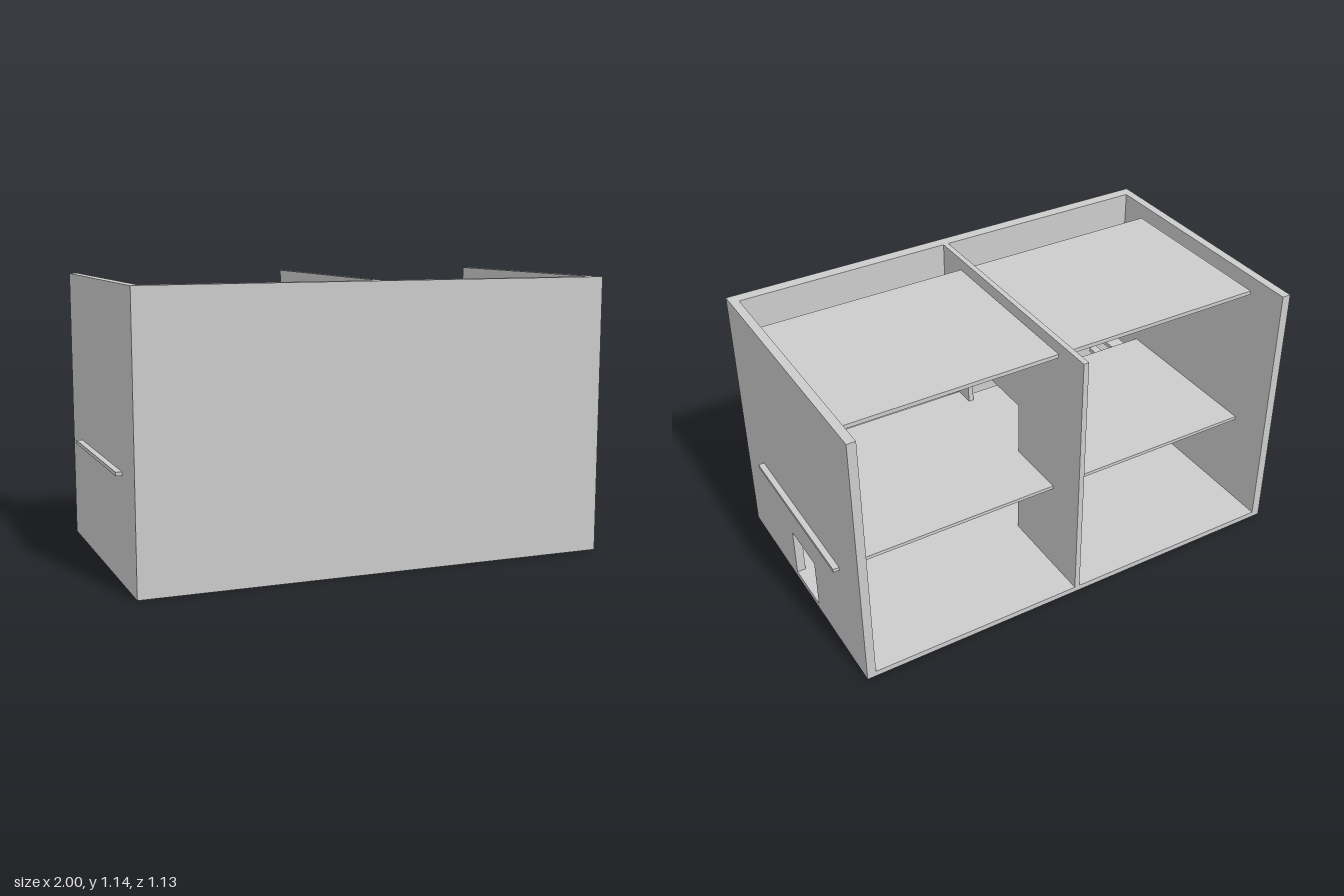
import * as THREE from 'three';

export function createModel() {
  const model = new THREE.Group();
  const material = new THREE.MeshStandardMaterial({ color: 0xcccccc, flatShading: true });
  const height = 1.14, back = -0.57, front = 0.565;

  const add = (name, geometry) => {
    const mesh = new THREE.Mesh(geometry, material);
    mesh.name = name;
    model.add(mesh);
    return mesh;
  };

  // Box given by its limits on each axis
  const box = (name, x0, x1, y0, y1, z0, z1) =>
    add(name, new THREE.BoxGeometry(x1 - x0, y1 - y0, z1 - z0))
      .position.set((x0 + x1) / 2, (y0 + y1) / 2, (z0 + z1) / 2);

  const rectangle = (path, z0, z1, y0, y1) =>
    path.moveTo(z0, y0).lineTo(z1, y0).lineTo(z1, y1).lineTo(z0, y1).closePath();

  // Upright wall across the depth, with doorways [z0, z1, y0, y1]
  const wall = (name, x0, x1, z1, doorways) => {
    const shape = rectangle(new THREE.Shape(), back, z1, 0, height);
    doorways.forEach(d => shape.holes.push(rectangle(new THREE.Path(), ...d)));
    const geometry = new THREE.ExtrudeGeometry(shape, { depth: x1 - x0, bevelEnabled: false });
    geometry.rotateY(-Math.PI / 2);
    add(name, geometry).position.x = x1;
  };

  // Outer shell, open at the back
  const lowerDoor = [-0.11, 0.113, 0.024, 0.243];
  const upperDoor = [-0.11, 0.32, 0.44, 0.675];
  box('groundFloor', -0.94, 0.94, 0, 0.024, back, 0.515);
  box('frontWall', -0.94, 0.94, 0, height, 0.515, front);
  wall('leftWall', 0.938, 0.975, front, [lowerDoor]);
  wall('rightWall', -0.975, -0.938, front, []);
  wall('dividingWall', -0.008, 0.015, 0.515, [lowerDoor, upperDoor]);

  // Upper floor, its ends passing through the side walls
  box('upperFloor', -1, 1, 0.425, 0.44, -0.385, 0.367);
  box('upperFloorExtension', 0.015, 0.938, 0.425, 0.44, 0.367, 0.41);

  // Ceiling panels
  box('rightCeiling', -0.92, -0.008, 1.073, 1.09, -0.4, 0.365);
  box('leftCeiling', 0.015, 0.938, 1.073, 1.09, -0.4, 0.365);

  // Staircase climbing to a landing beside the upper floor
  box('stairLanding', -0.87, -0.8, 0.415, 0.435, 0.365, 0.49);
  for (let i = 0; i < 6; i++) {
    const x = -0.79 + i * 0.05, y = 0.36 - i * 0.058;
    box('stairTread', x, x + 0.038, y, y + 0.02, 0.385, 0.49);
    box('stairTreadEnd', x, x + 0.038, y, y + 0.02, 0.355, 0.375);
  }
  return model;
}
